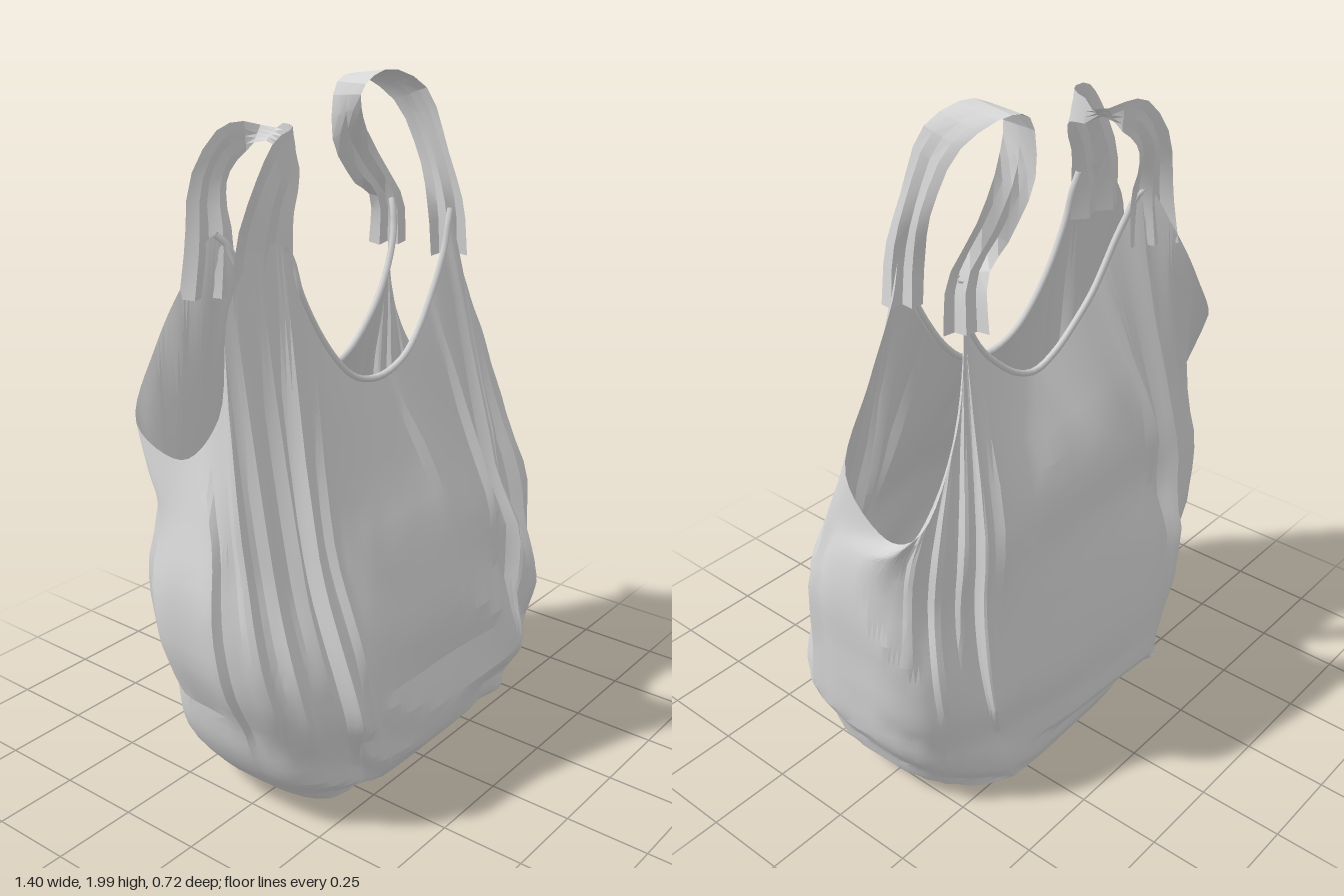
import * as THREE from 'three';
import { toCreasedNormals } from 'three/addons/utils/BufferGeometryUtils.js';

const film = new THREE.MeshStandardMaterial({ color: 0xd6d6d6, side: THREE.DoubleSide });
film.name = 'pale grey film';

// Mouth of the bag, all round: [angle from front towards +x in degrees, x, y, z]
const RIM = [
  [0, 0, 1.18, 0.07], [9, 0.13, 1.22, 0.07], [17, 0.25, 1.36, 0.065], [24, 0.32, 1.5, 0.065],
  [28, 0.35, 1.6, 0.06], [36, 0.4, 1.5, 0.04], [52, 0.5, 1.3, 0.04], [75, 0.61, 1.08, 0.03],
  [92, 0.62, 0.95, -0.12], [106, 0.63, 1.04, -0.26], [122, 0.5, 1.26, -0.26], [140, 0.41, 1.48, -0.21],
  [150, 0.36, 1.6, -0.16], [155, 0.33, 1.5, -0.13], [163, 0.22, 1.32, -0.11], [180, 0, 1.18, -0.1],
  [197, -0.22, 1.32, -0.11], [205, -0.33, 1.5, -0.13], [210, -0.39, 1.62, -0.17], [220, -0.45, 1.5, -0.23],
  [238, -0.53, 1.33, -0.27], [254, -0.63, 1.15, -0.25], [268, -0.62, 1.08, -0.1], [285, -0.61, 1.22, 0.03],
  [308, -0.57, 1.5, 0.04], [324, -0.47, 1.62, 0.045], [332, -0.37, 1.62, 0.05], [336, -0.33, 1.5, 0.06],
  [343, -0.25, 1.36, 0.06], [351, -0.13, 1.22, 0.07],
];
// Horizontal sections of the sack: [y, right x, left x, front z, back z, back squareness]
const RINGS = [
  [0.88, 0.65, 0.675, 0.2, 0.27, 0.45], [0.6, 0.68, 0.68, 0.285, 0.3, 0.55], [0.36, 0.67, 0.64, 0.34, 0.335, 0.6],
  [0.2, 0.62, 0.57, 0.335, 0.355, 0.6], [0.1, 0.57, 0.5, 0.3, 0.345, 0.6], [0.035, 0.5, 0.43, 0.25, 0.32, 0.6],
];
// Gathers under the straps: [angle, half width (sign sets the steep side), depth, end]
const PLEATS = [
  [3, 4, 0.02, 0.3], [17, 3, 0.025, 0.4], [25, 4, 0.045, 0.66], [31, 4, 0.03, 0.4], [39, 6, 0.04, 0.55],
  [52, 8, 0.03, 0.4], [70, 9, 0.025, 0.6], [118, 8, 0.025, 0.4], [132, 7, 0.035, 0.55],
  [144, 5, 0.04, 0.4], [152, 4, 0.04, 0.62], [160, 4, 0.025, 0.35], [178, -5, 0.02, 0.3], [200, -4, 0.03, 0.4],
  [208, -4, 0.045, 0.62], [217, -6, 0.035, 0.45], [231, -8, 0.035, 0.55], [276, -8, 0.03, 0.68],
  [296, -8, 0.035, 0.5], [312, -7, 0.03, 0.6], [324, -5, 0.03, 0.45], [331, -4, 0.055, 0.7], [340, -3, 0.025, 0.6],
];

// Strap centre lines: [x, y, z, half width x, y, z]
const LEFT_STRAP = [
  [0.36, 1.46, 0.05, 0.035, 0, 0.04], [0.35, 1.6, 0.045, 0.025, 0.01, 0.045], [0.345, 1.76, 0.0, 0.005, 0.02, 0.045],
  [0.31, 1.92, -0.06, 0.01, 0.02, 0.05], [0.22, 1.985, -0.13, 0.0, 0.01, 0.06], [0.145, 1.95, -0.15, 0, 0, 0.05],
  [0.15, 1.83, -0.16, 0.02, 0.03, 0.04], [0.26, 1.71, -0.18, 0.045, 0.04, 0.01],
  [0.35, 1.6, -0.17, 0.035, 0, 0.035], [0.37, 1.46, -0.18, 0.04, 0, 0.04],
];
const RIGHT_STRAP = [
  [-0.46, 1.47, 0.045, 0.1, 0, 0.01], [-0.45, 1.62, 0.045, 0.095, -0.02, 0.01], [-0.405, 1.74, 0.045, 0.07, -0.05, 0],
  [-0.34, 1.81, 0.03, 0.045, -0.065, 0], [-0.265, 1.85, 0.0, 0.01, -0.045, 0], [-0.22, 1.86, -0.08, 0, -0.035, 0],
  [-0.24, 1.86, -0.17, 0, -0.035, 0], [-0.32, 1.83, -0.19, 0.02, -0.055, 0],
  [-0.38, 1.74, -0.195, 0.055, -0.03, 0.01], [-0.4, 1.6, -0.18, 0.06, 0, 0.03], [-0.41, 1.45, -0.19, 0.06, 0, 0.04],
];

// Grid of points to a creased surface, optionally joined around and closed at the end by a tip
function skin(columns, closed, tip) {
  const rows = columns[0].length, n = columns.length, index = [];
  const pos = columns.flat().flatMap((p) => [p.x, p.y, p.z]);
  for (let i = 0; i < (closed ? n : n - 1); i++) {
    const a = i * rows, b = ((i + 1) % n) * rows;
    for (let j = 0; j < rows - 1; j++) {
      index.push(a + j, a + j + 1, b + j, b + j, a + j + 1, b + j + 1);
    }
    if (tip) index.push(a + rows - 1, n * rows, b + rows - 1);
  }
  if (tip) pos.push(tip.x, tip.y, tip.z);
  const g = new THREE.BufferGeometry();
  g.setAttribute('position', new THREE.Float32BufferAttribute(pos, 3));
  g.setIndex(index);
  return toCreasedNormals(g, 0.3);
}

function part(name, geometry) {
  const mesh = new THREE.Mesh(geometry, film);
  mesh.name = name;
  return mesh;
}

// Seeded coarse noise, flat over each triangular half cell, for broad crumpled facets
function crumple(cols, rows) {
  let seed = 17;
  const cells = Array.from({ length: cols * (rows + 1) }, () => {
    seed = (seed * 16807) % 2147483647;
    return seed / 2147483647 - 0.5;
  });
  return (u, v) => {
    const x = u * cols, y = Math.min(v * rows, rows - 0.001);
    const i = Math.floor(x), j = Math.floor(y), f = x - i, g = y - j;
    const c = (a, b) => cells[(a % cols) * (rows + 1) + b];
    const a = c(i, j), d = c(i + 1, j + 1);
    return f > g
      ? a + (c(i + 1, j) - a) * f + (d - c(i + 1, j)) * g
      : a + (c(i, j + 1) - a) * g + (d - c(i, j + 1)) * f;
  };
}

// Folded flaps: one steep side, one long side, fading in below the mouth and out at their ends
function pleatDepth(angle, v) {
  let d = 0;
  for (const [centre, width, depth, end] of PLEATS) {
    const s = (angle - centre) / width;
    const across = Math.max(0, s < 0 ? 1 + s * 2.5 : 1 - s);
    d += across * depth * Math.min(1, v * 7, Math.max(0, (end - v) * 4));
  }
  return d;
}

const power = (a, e) => Math.sign(a) * Math.abs(a) ** e;

function buildSack(mouth) {
  const per = 6, n = RIM.length * per, steps = 26;
  const noise = crumple(15, 8), columns = [];
  for (let i = 0; i < n; i++) {
    const k = Math.floor(i / per), f = (i % per) / per;
    const next = k + 1 < RIM.length ? RIM[k + 1][0] : 360;
    const angle = RIM[k][0] + (next - RIM[k][0]) * f;
    const t = THREE.MathUtils.degToRad(angle), s = Math.sin(t), c = Math.cos(t);
    const line = [mouth.getPoint(i / n)];
    for (const [y, xr, xl, zf, zb, square] of RINGS) {
      line.push(new THREE.Vector3(
        power(s, 0.6) * (s > 0 ? xr : xl), y, c > 0 ? power(c, 0.6) * zf : power(c, square) * zb));
    }
    const curve = new THREE.CatmullRomCurve3(line);
    const column = [];
    for (let j = 0; j <= steps; j++) {
      const v = j / steps, p = curve.getPoint(v);
      const d = pleatDepth(angle, v) + (noise(i / n, v) * 0.065 - 0.004) * Math.min(1, v * 5);
      p.x += s * d * 0.7;
      p.z += c * d;
      column.push(p);
    }
    columns.push(column);
  }
  return skin(columns, true, new THREE.Vector3(0.17, 0, 0.08));
}

// Ribbon that is smooth at the top and gathered at its ends
function buildStrap(rows) {
  const path = new THREE.CatmullRomCurve3(rows.map((r) => new THREE.Vector3(r[0], r[1], r[2])));
  const side = new THREE.CatmullRomCurve3(rows.map((r) => new THREE.Vector3(r[3], r[4], r[5])));
  const columns = [], steps = 24, across = 4;
  for (let i = 0; i <= steps; i++) {
    const t = i / steps, p = path.getPoint(t), w = side.getPoint(t);
    const normal = new THREE.Vector3().crossVectors(path.getTangent(t), w).normalize();
    const wrinkle = 0.03 * Math.abs(2 * t - 1) ** 2;
    columns.push(Array.from({ length: across + 1 }, (_, j) =>
      p.clone().addScaledVector(w, (j / across) * 2 - 1).addScaledVector(normal, (j % 2 - 0.5) * wrinkle)));
  }
  return skin(columns, false);
}

// Rolled hem along one dip of the mouth
function buildHem(mouth, from, to) {
  const points = Array.from({ length: 17 }, (_, i) =>
    mouth.getPoint((from + ((to - from) * i) / 16 + 1) % 1));
  return new THREE.TubeGeometry(new THREE.CatmullRomCurve3(points), 40, 0.01, 6);
}

export function createModel() {
  const bag = new THREE.Group();
  bag.name = 'shopping bag';
  const mouth = new THREE.CatmullRomCurve3(RIM.map(([, x, y, z]) => new THREE.Vector3(x, y, z)), true);
  const n = RIM.length;
  bag.add(
    part('sack', buildSack(mouth)),
    part('leftStrap', buildStrap(LEFT_STRAP)),
    part('rightStrap', buildStrap(RIGHT_STRAP)),
    part('frontHem', buildHem(mouth, -4 / n, 4 / n)),
    part('backHem', buildHem(mouth, 12 / n, 18 / n)),
  );
  return bag;
}
